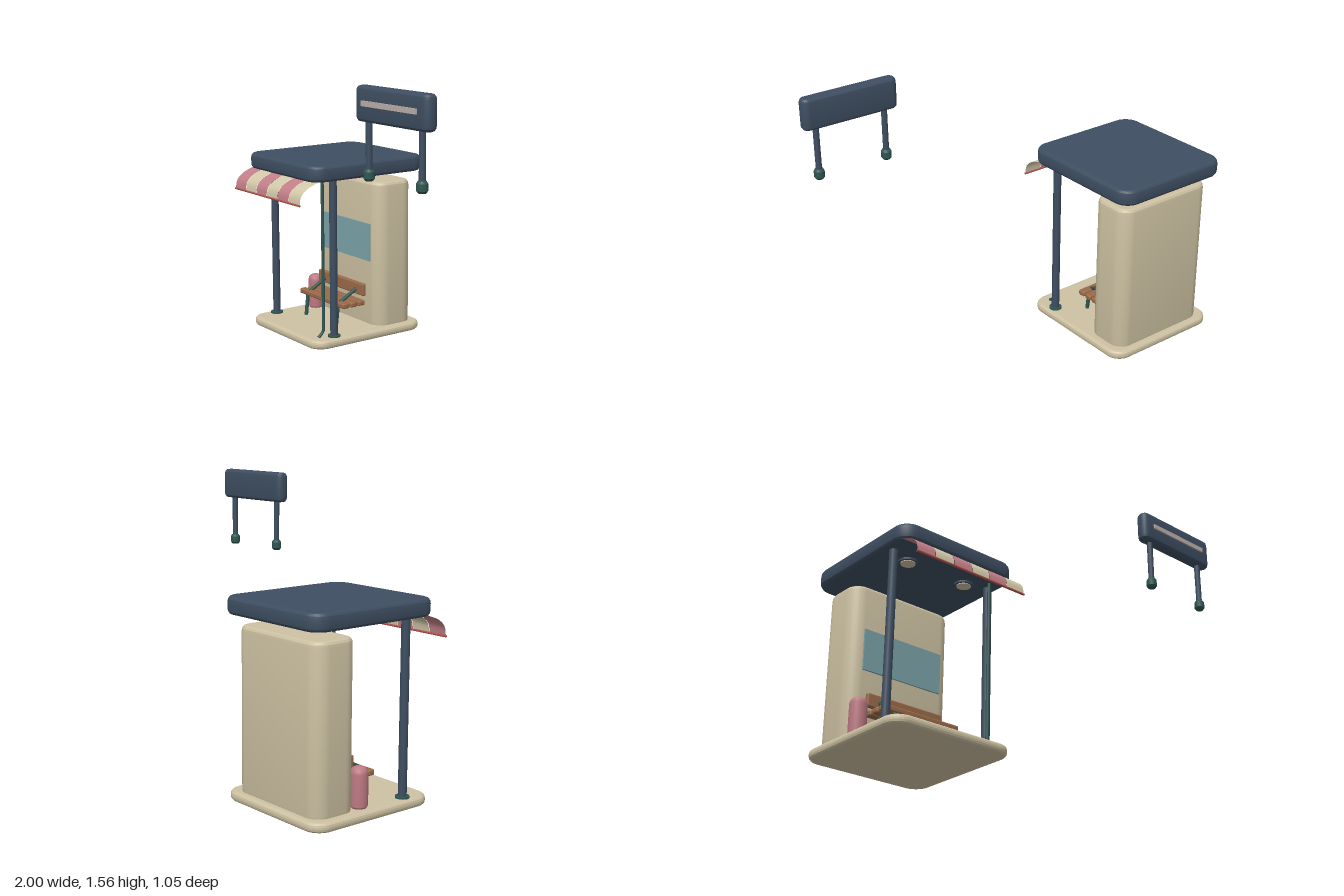
import * as THREE from 'three';
import { toCreasedNormals } from 'three/addons/utils/BufferGeometryUtils.js';

const paint = (name, color, side = THREE.FrontSide) => {
  const m = new THREE.MeshStandardMaterial({ color, side });
  m.name = name;
  return m;
};

export function createModel() {
  const navy = paint('navy', 0x3e4e61);
  const cream = paint('cream', 0xcdc1a2);
  const clothCream = paint('cloth cream', 0xd2c8a9, THREE.DoubleSide);
  const clothPink = paint('cloth pink', 0xc27f87, THREE.DoubleSide);
  const pink = paint('pink', 0xbd7a83);
  const glass = paint('glass', 0x7ba3a8);
  const wood = paint('wood', 0x9a6a4a);
  const green = paint('green', 0x2f5752);
  const red = paint('red', 0xb4524a);
  const pale = paint('pale grey', 0xbcaeaa);

  const model = new THREE.Group();
  const add = (name, geo, mat, x = 0, y = 0, z = 0, parent = model) => {
    const mesh = new THREE.Mesh(geo, mat);
    mesh.name = name;
    mesh.position.set(x, y, z);
    parent.add(mesh);
    return mesh;
  };

  // Rounded, bevelled block standing on y = 0; r rounds the upright corners
  const slab = (w, h, d, r, bevel, bevelY = bevel) => {
    const a = w / 2 - bevel, b = d / 2 - bevel, q = r - bevel;
    const s = new THREE.Shape();
    s.moveTo(-a + q, -b).lineTo(a - q, -b);
    s.absarc(a - q, -b + q, q, -Math.PI / 2, 0);
    s.absarc(a - q, b - q, q, 0, Math.PI / 2);
    s.absarc(-a + q, b - q, q, Math.PI / 2, Math.PI);
    s.absarc(-a + q, -b + q, q, Math.PI, Math.PI * 1.5);
    const g = new THREE.ExtrudeGeometry(s, {
      depth: h - 2 * bevelY, bevelSize: bevel, bevelThickness: bevelY,
      bevelSegments: 3, curveSegments: 8,
    });
    g.rotateX(-Math.PI / 2).translate(0, bevelY, 0);
    return toCreasedNormals(g, 0.24);
  };

  const rod = (r, h, sides = 16) => new THREE.CylinderGeometry(r, r, h, sides);

  // Tube along straight runs, in the yz plane
  const bentTube = (points, r) => {
    const path = new THREE.CurvePath();
    const v = points.map(([y, z]) => new THREE.Vector3(0, y, z));
    for (let i = 1; i < v.length; i++) path.add(new THREE.LineCurve3(v[i - 1], v[i]));
    return new THREE.TubeGeometry(path, 32, r, 8, false);
  };

  const cx = -0.64;

  // Shell of the shelter
  add('base', slab(0.72, 0.05, 0.76, 0.09, 0.02), cream, cx, 0, -0.13);
  add('roof', slab(0.72, 0.09, 0.78, 0.09, 0.02, 0.028), navy, cx, 0.95, -0.133);
  add('backWall', slab(0.62, 0.865, 0.26, 0.08, 0.02, 0.03), cream, cx, 0.03, -0.34);
  add('windowPanel', new THREE.BoxGeometry(0.48, 0.22, 0.009), glass, cx, 0.54, -0.2055);

  // Front posts with foot plates, and ceiling lamps
  for (const side of [-1, 1]) {
    const x = cx + side * 0.303;
    add('post', rod(0.022, 0.92), navy, x, 0.5, 0.095);
    add('postFoot', rod(0.036, 0.012), green, x, 0.054, 0.095);
    add('lampRing', rod(0.05, 0.012, 24), navy, cx + side * 0.18, 0.946, 0.05);
    add('lampDisc', rod(0.038, 0.006, 24), cream, cx + side * 0.18, 0.939, 0.05);
  }

  // Drainpipe with a kicked-out foot
  add('drainpipe', bentTube([[0.96, 0.145], [0.08, 0.145], [0.05, 0.182]], 0.009), green, -0.368);

  // Striped awning
  const awning = new THREE.Group();
  awning.name = 'awning';
  model.add(awning);
  const curve = new THREE.CatmullRomCurve3([
    [0.953, 0.21], [0.925, 0.285], [0.885, 0.328], [0.835, 0.338],
  ].map(([y, z]) => new THREE.Vector3(0, y, z)));
  const stripeWidth = 0.68 / 6;
  for (let i = 0; i < 6; i++) {
    const g = new THREE.PlaneGeometry(stripeWidth - 0.003, 1, 1, 8);
    const p = g.attributes.position;
    for (let k = 0; k < p.count; k++) {
      const c = curve.getPoint(0.5 - p.getY(k));
      p.setXYZ(k, p.getX(k), c.y, c.z);
    }
    g.computeVertexNormals();
    add('awningStripe', g, i % 2 ? clothCream : clothPink, cx - 0.34 + (i + 0.5) * stripeWidth, 0, 0, awning);
  }
  add('awningRod', rod(0.006, 0.68, 8).rotateZ(Math.PI / 2), red, cx, 0.836, 0.338, awning);

  // Bench
  const bench = new THREE.Group();
  bench.name = 'bench';
  model.add(bench);
  for (const z of [-0.045, -0.1, -0.155])
    add('seatPlank', slab(0.46, 0.03, 0.046, 0.012, 0.008), wood, cx, 0.17, z, bench);
  add('backPlank', slab(0.46, 0.072, 0.026, 0.011, 0.008), wood, cx, 0.225, -0.173, bench);
  for (const x of [-0.797, -0.483])
    add('benchLeg', bentTube([[0.05, -0.02], [0.185, -0.036], [0.265, -0.178]], 0.011), green, x, 0, 0, bench);

  // Litter bin with a rounded top
  const binProfile = [
    [0, 0.05], [0.038, 0.05], [0.045, 0.062], [0.045, 0.22],
    [0.041, 0.238], [0.031, 0.25], [0.018, 0.256], [0, 0.257],
  ].map(([r, y]) => new THREE.Vector2(r, y));
  add('bin', new THREE.LatheGeometry(binProfile, 24), pink, -0.915, 0, -0.17);

  // Separate hanging sign
  const sign = new THREE.Group();
  sign.name = 'sign';
  model.add(sign);
  add('signBoard', slab(0.55, 0.17, 0.076, 0.036, 0.02, 0.025), navy, 0.725, 1.39, 0.477, sign);
  add('signStrip', new THREE.BoxGeometry(0.41, 0.026, 0.009), pale, 0.725, 1.48, 0.519, sign);
  const footProfile = [[0, 0], [0.019, 0], [0.028, 0.012], [0.028, 0.045], [0.02, 0.057], [0, 0.057]]
    .map(([r, y]) => new THREE.Vector2(r, y));
  for (const x of [0.522, 0.924]) {
    add('signPost', rod(0.016, 0.26), navy, x, 1.275, 0.477, sign);
    add('signFoot', toCreasedNormals(new THREE.LatheGeometry(footProfile, 16), 0.45), green, x, 1.108, 0.477, sign);
  }

  return model;
}
